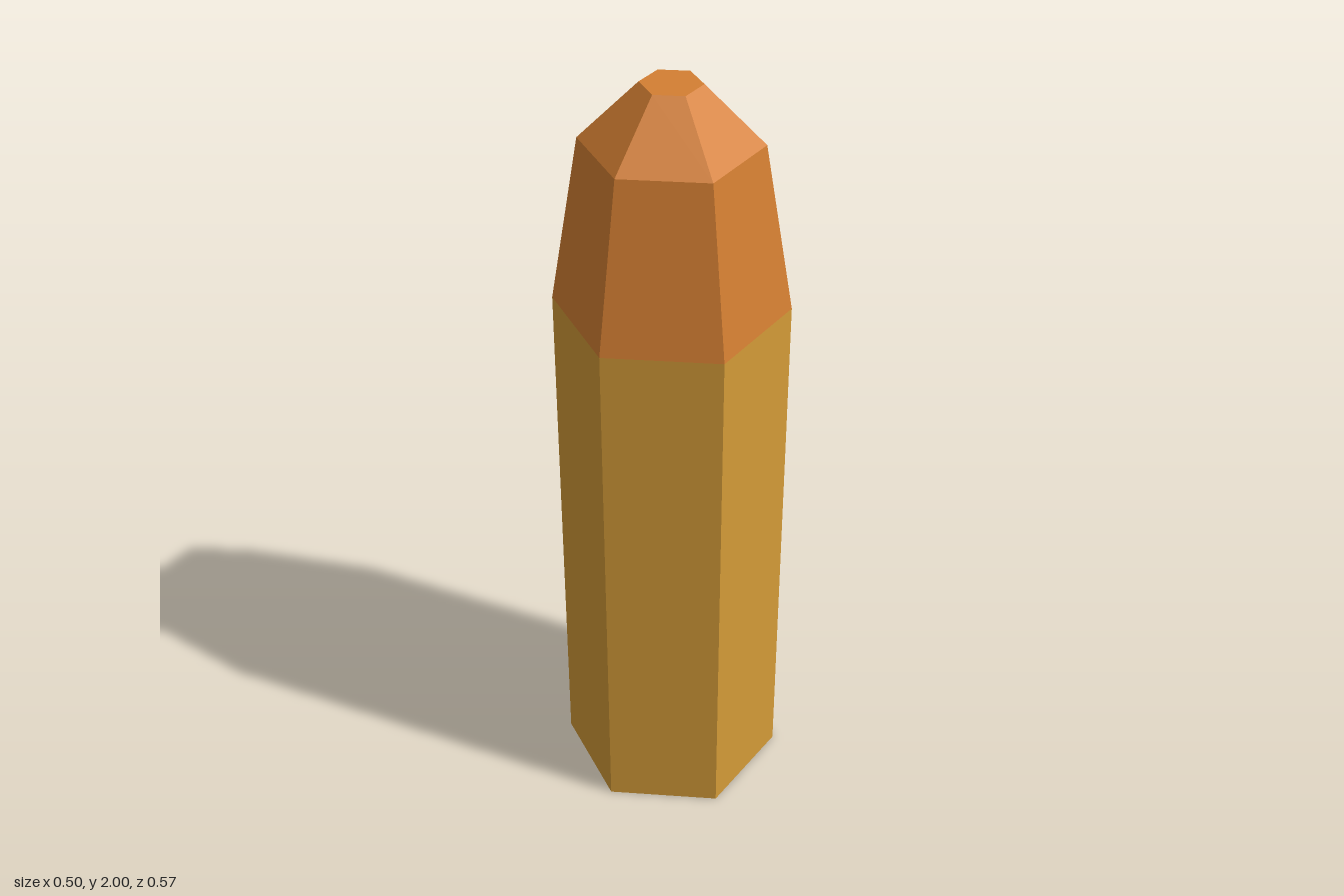
import * as THREE from 'three';

// Six-sided flat-shaded solid of revolution from [radius, height] pairs, listed bottom to top
function hexLathe(name, color, profile) {
  const points = profile.map(([r, y]) => new THREE.Vector2(r, y));
  const material = new THREE.MeshStandardMaterial({ color, flatShading: true });
  const mesh = new THREE.Mesh(new THREE.LatheGeometry(points, 6), material);
  mesh.name = name;
  return mesh;
}

export function createModel() {
  const group = new THREE.Group();
  group.name = 'cartridge';

  // Straight brass casing with a closed base
  group.add(hexLathe('casing', 0xd49b38, [[0, 0], [0.286, 0], [0.286, 1.429]]));

  // Copper tip tapering in two steps to a small flat nose
  group.add(hexLathe('tip', 0xd47f32, [[0.286, 1.429], [0.215, 1.857], [0.073, 2], [0, 2]]));

  return group;
}
